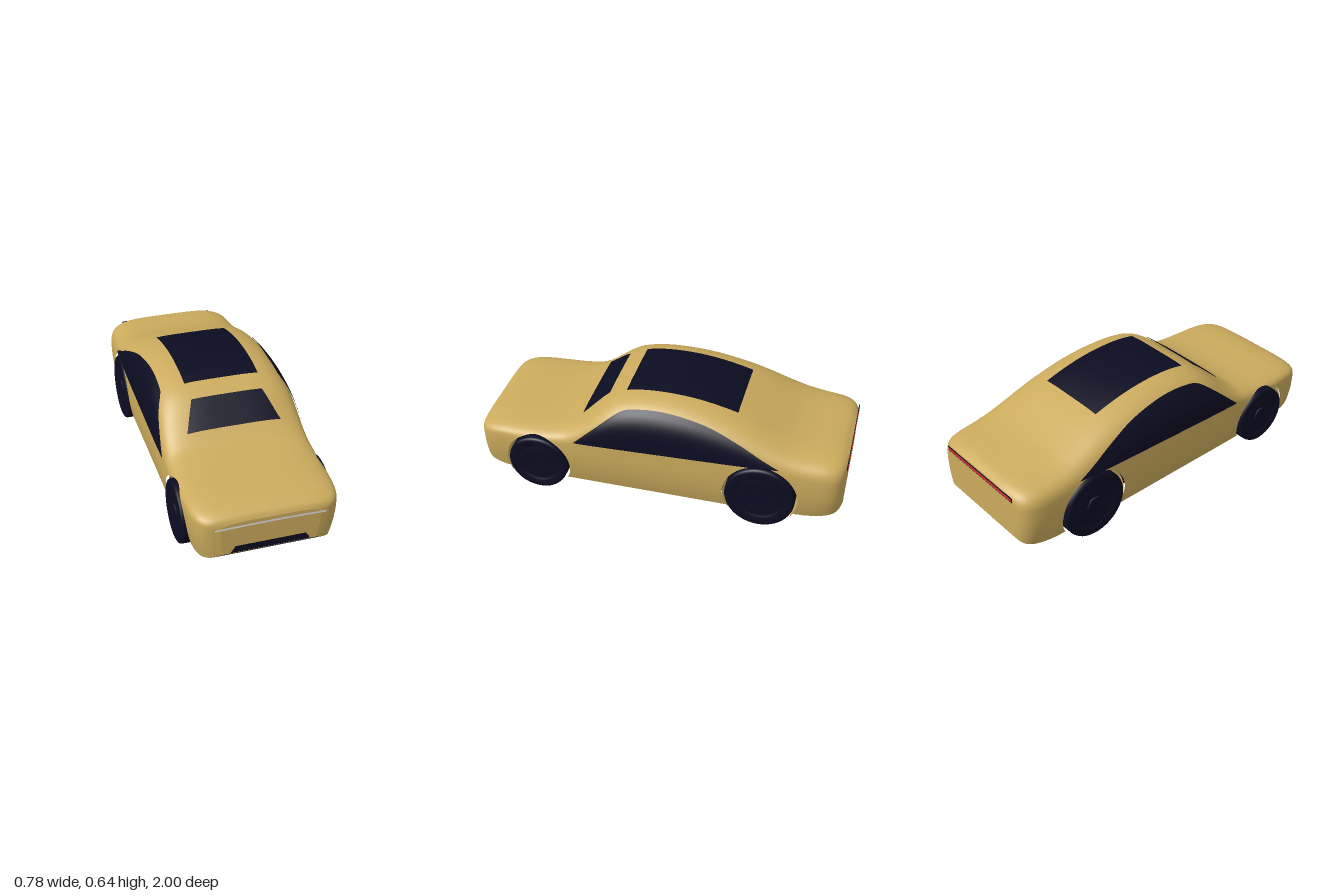
import * as THREE from 'three';
import { mergeVertices } from 'three/addons/utils/BufferGeometryUtils.js';

const paint = new THREE.MeshStandardMaterial({ color: 0xcbab5d }); paint.name = 'gold paint';
const dark = new THREE.MeshStandardMaterial({ color: 0x0c0c22 }); dark.name = 'dark glass and rubber';
const white = new THREE.MeshStandardMaterial({ color: 0xe2e2e2 }); white.name = 'headlight white';
const red = new THREE.MeshStandardMaterial({ color: 0xd02c38 }); red.name = 'tail light red';

// Smooth curve through [z, value] points, listed front to back
function spline(pts) {
  const slope = i => {
    const a = pts[Math.max(0, i - 1)], b = pts[Math.min(pts.length - 1, i + 1)];
    return (b[1] - a[1]) / (b[0] - a[0]);
  };
  return z => {
    let i = 0;
    while (i < pts.length - 2 && z < pts[i + 1][0]) i++;
    const [z0, a] = pts[i], [z1, b] = pts[i + 1], d = z1 - z0;
    const t = Math.min(1, Math.max(0, (z - z0) / d)), s = 1 - t;
    return a * (1 + 2 * t) * s * s + slope(i) * d * t * s * s
      + b * t * t * (3 - 2 * t) - slope(i + 1) * d * t * t * s;
  };
}

// Body profile: roof line, sill line and half width along z
const topLine = spline([[.995, .31], [.98, .333], [.93, .356], [.85, .37], [.7, .376], [.6, .382], [.5, .402],
  [.45, .428], [.4, .466], [.35, .51], [.3, .552], [.25, .584], [.2, .605], [.1, .626], [0, .633], [-.1, .631],
  [-.2, .621], [-.3, .602], [-.4, .576], [-.5, .542], [-.6, .502], [-.7, .467], [-.8, .447], [-.9, .436], [-.96, .424], [-.995, .405]]);
const sillLine = spline([[.995, .13], [.98, .113], [.95, .1], [.9, .088], [.8, .077], [.6, .075],
  [0, .075], [-.6, .075], [-.75, .082], [-.85, .09], [-.95, .108], [-.98, .125], [-.995, .145]]);
const halfWidth = spline([[.995, .25], [.985, .3], [.965, .333], [.93, .358], [.85, .374], [.7, .382], [.4, .386],
  [0, .386], [-.6, .384], [-.8, .378], [-.9, .37], [-.955, .35], [-.985, .315], [-.995, .28]]);
const POWER = 4.1;
const shoulder = z => Math.min(.28, topLine(z) - .05);

// Half width of the body at a height, and height of the body at an x
function sideX(z, y) {
  const w = halfWidth(z), ys = shoulder(z);
  if (y <= ys) return w * (1 - .08 * Math.pow((ys - y) / (ys - sillLine(z)), 2));
  const u = Math.min(1, (y - ys) / (topLine(z) - ys));
  return w * Math.pow(1 - Math.pow(u, POWER), 1 / POWER);
}
function roofY(z, x) {
  const ys = shoulder(z), u = Math.min(1, Math.abs(x) / halfWidth(z));
  return ys + (topLine(z) - ys) * Math.pow(1 - Math.pow(u, POWER), 1 / POWER);
}

const axles = [
  { name: 'front', z: .647, r: .165, arch: .18 },
  { name: 'rear', z: -.572, r: .186, arch: .199 },
];

// One half cross-section from sill (or arch edge) up to the roof centre
const LOW = 6, HIGH = 14;
function section(z, axle, edge) {
  const ys = shoulder(z), h = topLine(z) - ys;
  let base = sillLine(z);
  if (axle) base = axle.r + Math.sqrt(Math.max(0, axle.arch ** 2 - (z - axle.z) ** 2));
  const pts = [];
  for (let i = 0; i < LOW; i++) {
    const y = base + (Math.max(base, ys) - base) * i / LOW;
    let pz = z;
    if (edge && y < edge.r) // follow the arch below the axle
      pz = edge.z + Math.sign(z - edge.z) * Math.sqrt(edge.arch ** 2 - (edge.r - y) ** 2);
    pts.push([sideX(z, y), y, pz]);
  }
  const a0 = base > ys ? Math.asin(Math.pow((base - ys) / h, POWER / 2)) : 0;
  for (let i = 0; i <= HIGH; i++) {
    const a = a0 + (Math.PI / 2 - a0) * i / HIGH;
    const y = ys + h * Math.pow(Math.sin(a), 2 / POWER);
    pts.push([i === HIGH ? 0 : halfWidth(z) * Math.pow(Math.cos(a), 2 / POWER), y, z]);
  }
  return pts;
}

function meshFrom(name, verts, material) {
  let g = new THREE.BufferGeometry();
  g.setAttribute('position', new THREE.Float32BufferAttribute(verts.flat(), 3));
  g = mergeVertices(g, 1e-5);
  g.computeVertexNormals();
  const m = new THREE.Mesh(g, material);
  m.name = name;
  return m;
}
const quad = (out, a, b, c, d) => out.push(a, b, c, a, c, d);
const flip = p => [-p[0], p[1], p[2]];

// Grid surface from a rule f(u, v)
function patch(name, nu, nv, f, material) {
  const v = [];
  for (let i = 0; i < nu; i++) for (let j = 0; j < nv; j++)
    quad(v, f(i / nu, j / nv), f((i + 1) / nu, j / nv), f((i + 1) / nu, (j + 1) / nv), f(i / nu, (j + 1) / nv));
  return meshFrom(name, v, material);
}

// Body shell lofted in five stretches, split at the wheel arches
function addBody(car) {
  const shell = [], floor = [];
  const [F, R] = axles;
  const stretches = [
    { a: .995, b: F.z + F.arch, n: 14, ease: t => t * t, last: F },
    { a: F.z + F.arch, b: F.z - F.arch, n: 28, ease: t => (1 - Math.cos(Math.PI * t)) / 2, axle: F },
    { a: F.z - F.arch, b: R.z + R.arch, n: 28, ease: t => t, first: F, last: R },
    { a: R.z + R.arch, b: R.z - R.arch, n: 28, ease: t => (1 - Math.cos(Math.PI * t)) / 2, axle: R },
    { a: R.z - R.arch, b: -.995, n: 14, ease: t => 1 - (1 - t) ** 2, first: R },
  ];
  const cap = (p, front) => {
    for (let i = 0; i < p.length - 1; i++) {
      const q = [p[i], p[i + 1], flip(p[i + 1]), flip(p[i])];
      quad(shell, ...(front ? q : q.reverse()));
    }
  };
  stretches.forEach((s, si) => {
    const cols = [];
    for (let k = 0; k <= s.n; k++) {
      const z = s.a + (s.b - s.a) * s.ease(k / s.n);
      cols.push(section(z, s.axle, k === 0 ? s.first : k === s.n ? s.last : null));
    }
    for (let k = 0; k < s.n; k++) {
      const p = cols[k], q = cols[k + 1];
      for (let i = 0; i < p.length - 1; i++) {
        quad(shell, p[i], q[i], q[i + 1], p[i + 1]);
        quad(shell, flip(p[i + 1]), flip(q[i + 1]), flip(q[i]), flip(p[i]));
      }
      if (!s.axle) quad(floor, p[0], flip(p[0]), flip(q[0]), q[0]);
    }
    if (si === 0) cap(cols[0], true);
    if (si === 4) cap(cols[s.n], false);
  });
  car.add(meshFrom('bodyShell', shell, paint), meshFrom('floor', floor, dark));

  // Inward-facing arch tunnels
  for (const x of axles) {
    const phi = Math.asin((x.r - .076) / x.arch);
    const g = new THREE.CylinderGeometry(x.arch, x.arch, .74, 40, 1, true, -phi, Math.PI + 2 * phi);
    g.rotateZ(Math.PI / 2).scale(-1, 1, 1);
    g.computeVertexNormals();
    const tunnel = new THREE.Mesh(g, paint);
    tunnel.name = x.name + 'WheelArch';
    tunnel.position.set(0, x.r, x.z);
    car.add(tunnel);
  }
}

function addBox(car, name, size, pos, material) {
  const m = new THREE.Mesh(new THREE.BoxGeometry(...size), material);
  m.name = name;
  m.position.set(...pos);
  car.add(m);
}

function addWheel(car, axle, side) {
  const r = axle.r, wheel = new THREE.Group();
  wheel.name = axle.name + (side > 0 ? 'LeftWheel' : 'RightWheel');
  // Tyre with stepped rim, from inner face to outer face
  const profile = [[0, 0], [r * .92, 0], [r * .98, .006], [r, .016], [r, .08], [r * .98, .09], [r * .92, .095],
    [r * .72, .095], [r * .7, .087], [r * .62, .087], [r * .6, .091], [r * .42, .091], [r * .4, .086], [0, .086]];
  const tyre = new THREE.LatheGeometry(profile.map(p => new THREE.Vector2(...p)), 48).rotateZ(-Math.PI / 2);
  const hub = new THREE.CylinderGeometry(r * .3, r * .3, .008, 6).rotateZ(-Math.PI / 2).translate(.089, 0, 0);
  wheel.add(new THREE.Mesh(tyre, dark), new THREE.Mesh(hub, dark));
  wheel.children[0].name = 'tyre';
  wheel.children[1].name = 'hub';
  wheel.position.set(side * .296, r, axle.z);
  if (side < 0) wheel.rotation.y = Math.PI;
  car.add(wheel);
}

export function createModel() {
  const car = new THREE.Group();
  car.name = 'car';
  addBody(car);
  addBox(car, 'underbodyPlate', [.48, .012, 1.7], [0, .073, 0], dark);

  // Glass follows the body surface
  const mix = THREE.MathUtils.lerp;
  car.add(patch('roofGlass', 12, 20, (u, v) => {
    const x = mix(-.2, .2, u), z = mix(.185, -.41, v);
    return [x, roofY(z, x) + .005, z];
  }, dark));
  car.add(patch('windshield', 12, 10, (u, v) => {
    const z = mix(.415, .28, v), x = mix(-1, 1, u) * mix(.25, .19, v);
    return [x, roofY(z, x) + .006, z + .002];
  }, dark));
  const windowTop = spline([[.43, .352], [.3, .47], [.2, .552], [.14, .576], [0, .59], [-.15, .58],
    [-.3, .548], [-.45, .49], [-.58, .425], [-.66, .387]]);
  for (const s of [1, -1])
    car.add(patch(s > 0 ? 'leftWindow' : 'rightWindow', 36, 10, (u, v) => {
      const t = s > 0 ? u : 1 - u, z = mix(.43, -.66, t);
      const y = mix(mix(.347, .385, t), windowTop(z), v);
      return [s * (sideX(z, y) + .006), y, z];
    }, dark));

  // Lights and lower grille
  car.add(patch('headlightBar', 16, 1, (u, v) => {
    const x = mix(-.28, .28, u);
    return [x, .283 + .011 * v - .12 * x * x, 1 - .08 * x * x];
  }, white));
  car.add(patch('lowerGrille', 1, 1, (u, v) =>
    [mix(-1, 1, u) * mix(.203, .178, v), mix(.135, .172, v), .998], dark));
  addBox(car, 'tailLightSurround', [.55, .026, .004], [0, .382, -.996], dark);
  addBox(car, 'tailLightBar', [.54, .016, .005], [0, .382, -.9975], red);

  for (const axle of axles) for (const side of [1, -1]) addWheel(car, axle, side);
  return car;
}
